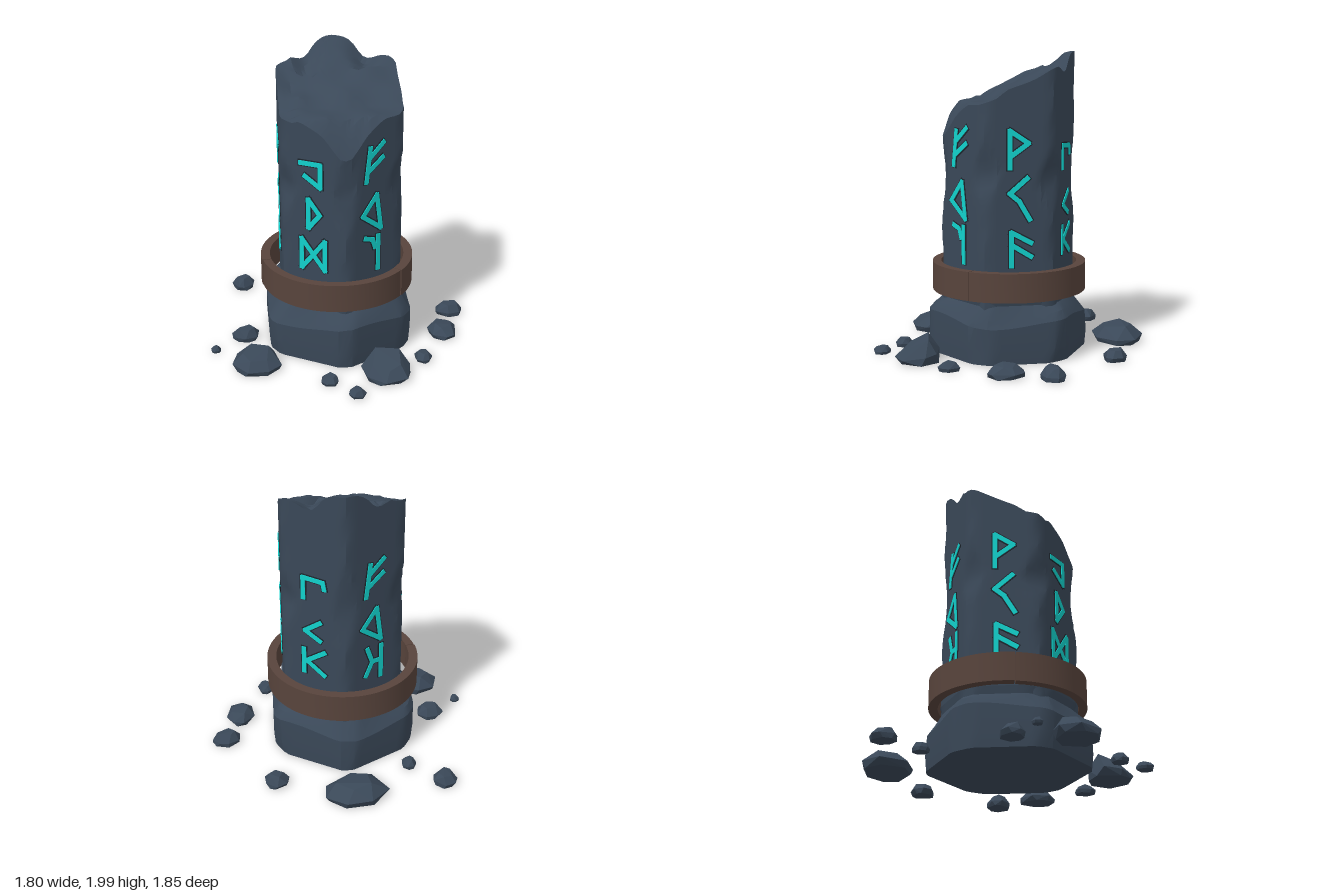
import * as THREE from 'three';
import { mergeGeometries, toCreasedNormals } from 'three/addons/utils/BufferGeometryUtils.js';
import { ConvexGeometry } from 'three/addons/geometries/ConvexGeometry.js';

const stone = new THREE.MeshStandardMaterial({ name: 'slate stone', color: 0x3a4858 });
const groove = new THREE.MeshStandardMaterial({ name: 'dark groove', color: 0x1d252d });
const glow = new THREE.MeshStandardMaterial({ name: 'turquoise glow', color: 0x12d2cd });
const bronze = new THREE.MeshStandardMaterial({ name: 'brown band', color: 0x58443c });

const DEG = Math.PI / 180;
const APOTHEM = 0.395, PILLAR_X = -0.01;

let seed = 11;
const rand = () => (seed = (seed * 16807) % 2147483647) / 2147483647;

function addMesh(parent, name, geometry, material) {
  const mesh = new THREE.Mesh(geometry, material);
  mesh.name = name;
  parent.add(mesh);
  return mesh;
}

// Piecewise linear lookup in [[key, value], ...] with ascending keys
function lookup(table, k) {
  if (k <= table[0][0]) return table[0][1];
  for (let i = 1; i < table.length; i++) {
    const [a, va] = table[i - 1], [b, vb] = table[i];
    if (k <= b) return va + (vb - va) * (k - a) / (b - a);
  }
  return table[table.length - 1][1];
}

// Radius of a hexagon with chamfered corners; corners lie at multiples of 60 degrees
function hexRadius(az, apothem, chamfer) {
  const fromCorner = az - Math.round(az / (60 * DEG)) * 60 * DEG;
  return Math.min(apothem / Math.cos(30 * DEG - Math.abs(fromCorner)), chamfer / Math.cos(fromCorner));
}

// Closed skin from rows of points, running bottom centre -> sides -> top centre
function loft(rowCount, segments, point, crease) {
  const pos = [], idx = [];
  for (let i = 0; i < rowCount; i++)
    for (let j = 0; j < segments; j++) pos.push(...point(i, j / segments * Math.PI * 2));
  for (let i = 0; i < rowCount - 1; i++)
    for (let j = 0; j < segments; j++) {
      const k = (j + 1) % segments, a = i * segments, b = a + segments;
      idx.push(a + j, a + k, b + k, a + j, b + k, b + j);
    }
  const g = new THREE.BufferGeometry();
  g.setAttribute('position', new THREE.Float32BufferAttribute(pos, 3));
  g.setIndex(idx);
  return toCreasedNormals(g, crease);
}

// Broken top: rises in steps from the front corner to the back corner
const TOP = [[-0.45, 2.0], [-0.38, 1.98], [-0.3, 1.9], [-0.2, 1.88], [-0.1, 1.83], [0.07, 1.75],
  [0.15, 1.69], [0.3, 1.66], [0.38, 1.56], [0.44, 1.43]];
function topHeight(x, z) {
  let y = lookup(TOP, z);
  if (z < -0.15) y -= 0.06 * Math.exp(-(((Math.abs(x) - 0.2) / 0.07) ** 2));
  y -= 0.05 * Math.exp(-((x + 0.2) ** 2 + (z + 0.05) ** 2) / 0.02);
  return y + 0.012 * Math.sin(x * 19 + 1) * Math.sin(z * 15) + (x < -0.3 ? -0.02 : 0);
}

// Corner wear along the height of the shaft
const WEAR = [[0.6, 0.445], [0.95, 0.442], [1.08, 0.425], [1.2, 0.403], [1.32, 0.425], [1.42, 0.442], [2, 0.446]];

function pillarGeometry() {
  const SIDE = 24, CAP = 9;
  return loft(1 + SIDE + CAP, 72, (i, az) => {
    const s = Math.sin(az), c = Math.cos(az);
    const rim = hexRadius(az, APOTHEM, 0.444);
    if (i === 0) return [PILLAR_X, 0.3, 0];
    const rimY = topHeight(s * rim, c * rim);
    if (i <= SIDE) {
      const y = 0.3 + (rimY - 0.3) * (i - 1) / (SIDE - 1);
      const wobble = 0.006 * Math.sin(y * 17 + Math.round(az / (60 * DEG)) * 2);
      const r = hexRadius(az, APOTHEM, Math.min(0.447, lookup(WEAR, y) + wobble));
      return [PILLAR_X + s * r, y, c * r];
    }
    const r = rim * (1 - (i - SIDE) / CAP);
    return [PILLAR_X + s * r, topHeight(s * r, c * r), c * r];
  }, 0.5);
}

// Plinth profile: [apothem, chamfer, height]
const PLINTH = [[0, 0, 0], [0.475, 0.515, 0], [0.483, 0.525, 0.1], [0.483, 0.528, 0.26], [0.45, 0.495, 0.31],
  [0.405, 0.43, 0.37], [0.415, 0.44, 0.42], [0, 0, 0.43]];
function plinthGeometry() {
  return loft(PLINTH.length, 72, (i, az) => {
    const [a, ch, y] = PLINTH[i];
    const corner = Math.round(az / (60 * DEG)) % 6;
    const r = a && hexRadius(az, a, ch + 0.012 * Math.sin(corner * 2.3 + i));
    const sag = i > 2 && i < 5 ? 0.025 * Math.sin(az * 3 + 1) : 0;
    return [-0.02 + Math.sin(az) * r, y + sag, Math.cos(az) * r];
  }, 0.45);
}

// Band segment between two azimuths in degrees
function bandGeometry(from, to, outer) {
  const a = (from - 90) * DEG, b = (to - 90) * DEG, shape = new THREE.Shape();
  shape.absarc(0, 0, outer, a, b, false);
  shape.absarc(0, 0, 0.455, b, a, true);
  const g = new THREE.ExtrudeGeometry(shape, { depth: 0.19, bevelEnabled: false, curveSegments: 32 });
  return toCreasedNormals(g.rotateX(-Math.PI / 2), 0.5);
}

// Carved marks as polylines [across, height, ...] on each face
const BRANCH = [[-0.075, 1.26, -0.045, 1.49], [-0.05, 1.42, 0.06, 1.51], [-0.06, 1.33, 0.055, 1.41]];
const WEDGE = [[-0.1, 1.03, 0.01, 1.16, 0.045, 0.92, -0.1, 1.03]];
const FLAG = [[-0.06, 1.26, -0.06, 1.5, 0.06, 1.42, -0.05, 1.34]];
const BOLT = [[0.055, 1.2, -0.06, 1.1, 0.0, 1.05, 0.07, 0.93]];
const FORK = [[-0.05, 0.63, -0.05, 0.85, 0.08, 0.78], [-0.05, 0.77, 0.08, 0.69]];
const FACES = [
  [30, [...BRANCH, ...WEDGE, [0.025, 0.63, 0.025, 0.87], [-0.08, 0.87, -0.02, 0.85, 0.0, 0.79]]],
  [90, [...FLAG, ...BOLT, ...FORK]],
  [150, [[-0.07, 1.24, -0.07, 1.39, 0.07, 1.38, 0.08, 1.33], [0.05, 1.08, -0.06, 1.0, 0.05, 0.94],
    [-0.07, 0.68, -0.07, 0.86], [0.08, 0.86, -0.05, 0.77, 0.08, 0.68]]],
  [210, [...BRANCH, ...WEDGE, [0.05, 0.63, 0.05, 0.87], [-0.06, 0.87, -0.02, 0.76, 0.05, 0.76], [-0.02, 0.76, -0.07, 0.66]]],
  [270, [...FLAG, ...BOLT, ...FORK]],
  [330, [[-0.09, 1.385, 0.05, 1.385, 0.05, 1.23, -0.06, 1.3], [-0.035, 1.14, -0.035, 0.94, 0.045, 1.04, -0.035, 1.14],
    [-0.085, 0.65, -0.085, 0.86, 0.08, 0.65, 0.08, 0.86, -0.085, 0.65]]],
];

// Thin strips along every stroke, slightly proud of the face
function strokeGeometry(lines, width, height) {
  const parts = [];
  for (const p of lines)
    for (let i = 0; i + 3 < p.length; i += 2) {
      const dx = p[i + 2] - p[i], dy = p[i + 3] - p[i + 1];
      const g = new THREE.BoxGeometry(Math.hypot(dx, dy) + width * 0.7, width, height);
      g.rotateZ(Math.atan2(dy, dx));
      parts.push(g.translate(p[i] + dx / 2, p[i + 1] + dy / 2, APOTHEM + height / 2));
    }
  return mergeGeometries(parts);
}

// Rubble: x, z, width, depth, height, slope toward +z
const ROCKS = [
  [-0.05, -0.77, 0.43, 0.33, 0.11, -0.2], [-0.66, -0.69, 0.16, 0.17, 0.08, 0], [-0.44, -0.5, 0.1, 0.12, 0.06, 0],
  [0.46, -0.62, 0.16, 0.16, 0.08, 0], [0.8, -0.14, 0.2, 0.16, 0.08, 0], [0.7, 0.14, 0.2, 0.26, 0.08, 0],
  [0.51, 0.47, 0.12, 0.14, 0.06, 0], [0.24, 0.64, 0.35, 0.31, 0.13, -0.5], [-0.14, 0.7, 0.12, 0.12, 0.06, 0],
  [0.02, 0.86, 0.11, 0.12, 0.05, 0], [-0.6, 0.45, 0.32, 0.31, 0.11, -0.2], [-0.66, 0.07, 0.19, 0.16, 0.08, 0],
  [-0.87, 0.23, 0.07, 0.07, 0.04, 0],
];
function rockGeometry([, , w, d, h, slope]) {
  const points = [], turn = rand() * 6;
  for (const [scale, y, n] of [[0.9, 0, 7], [1, 0.4, 7], [0.6, 1, 5]])
    for (let i = 0; i < n; i++) {
      const a = turn + (i + rand() * 0.5) / n * Math.PI * 2, r = scale * (0.92 + rand() * 0.16);
      const z = Math.cos(a) * r;
      const height = y * h * (0.85 + rand() * 0.2) * (1 + slope * z);
      points.push(new THREE.Vector3(Math.sin(a) * r * w / 2, height, z * d / 2));
    }
  return new ConvexGeometry(points);
}

export function createModel() {
  const model = new THREE.Group();
  model.name = 'brokenStonePillar';
  addMesh(model, 'plinth', plinthGeometry(), stone);
  addMesh(model, 'shaft', pillarGeometry(), stone);

  // Cracked band in two pieces
  const band = new THREE.Group();
  band.name = 'band';
  band.position.set(-0.025, 0.41, -0.005);
  addMesh(band, 'bandFront', bandGeometry(-80, 50, 0.512), bronze);
  addMesh(band, 'bandBack', bandGeometry(50.6, 279.2, 0.516), bronze);
  model.add(band);

  // Glowing marks with dark groove edges on all six faces
  for (const [az, lines] of FACES) {
    const face = new THREE.Group();
    face.name = 'carvedMarks';
    face.position.x = PILLAR_X;
    face.rotation.y = az * DEG;
    addMesh(face, 'markGroove', strokeGeometry(lines, 0.046, 0.004), groove);
    addMesh(face, 'markGlow', strokeGeometry(lines, 0.031, 0.009), glow);
    model.add(face);
  }

  const rubble = new THREE.Group();
  rubble.name = 'rubble';
  for (const rock of ROCKS) addMesh(rubble, 'rock', rockGeometry(rock), stone).position.set(rock[0], 0, rock[1]);
  model.add(rubble);
  return model;
}
